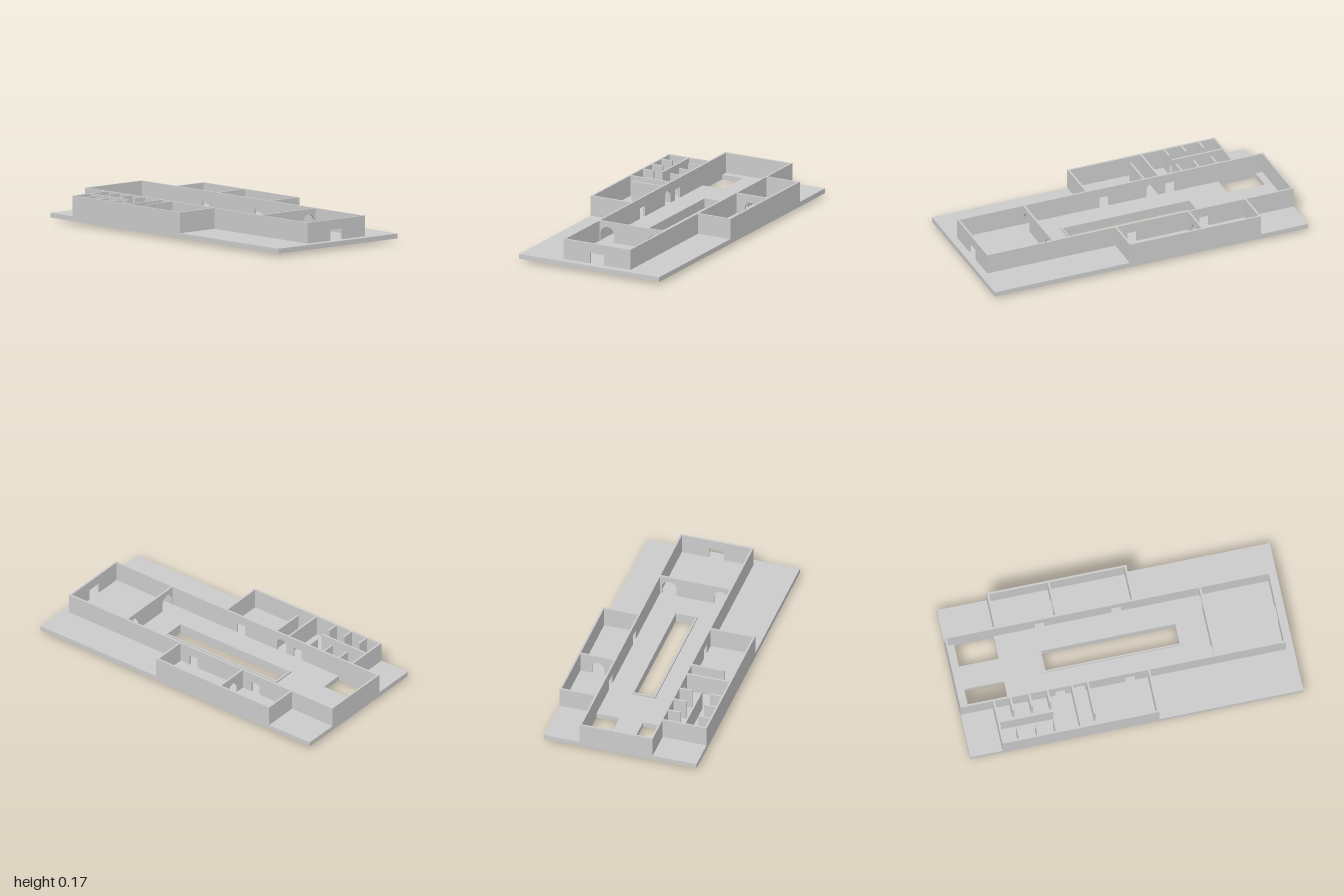
import * as THREE from 'three';

const FLOOR = 0.047, SLAB_BOTTOM = 0.018, TOP = 0.17, T = 0.012;
const material = new THREE.MeshStandardMaterial({ color: 0xcccccc, flatShading: true });

// Closed rectangle path from two opposite corners
function rect(Type, x0, z0, x1, z1) {
  const p = new Type();
  p.moveTo(x0, z0);
  p.lineTo(x1, z0);
  p.lineTo(x1, z1);
  p.lineTo(x0, z1);
  p.closePath();
  return p;
}

// Horizontal plate with rectangular holes
function plate(name, outline, holes, bottom, top) {
  const shape = rect(THREE.Shape, ...outline);
  holes.forEach(h => shape.holes.push(rect(THREE.Path, ...h)));
  const geo = new THREE.ExtrudeGeometry(shape, { depth: top - bottom, bevelEnabled: false });
  geo.rotateX(Math.PI / 2).translate(0, top, 0);
  const mesh = new THREE.Mesh(geo, material);
  mesh.name = name;
  return mesh;
}

// Upright wall centred on `at`, running from a to b along an axis.
// Openings are [start, end, top, arched], in rising order.
function wall(name, axis, at, a, b, openings = []) {
  const s = new THREE.Shape();
  s.moveTo(a, TOP);
  s.lineTo(a, FLOOR);
  for (const [u0, u1, top, arched] of openings) {
    const r = (u1 - u0) / 2;
    s.lineTo(u0, FLOOR);
    if (arched) {
      s.lineTo(u0, top - r);
      s.absarc(u0 + r, top - r, r, Math.PI, 0, true);
    } else {
      s.lineTo(u0, top);
      s.lineTo(u1, top);
    }
    s.lineTo(u1, FLOOR);
  }
  s.lineTo(b, FLOOR);
  s.lineTo(b, TOP);
  s.closePath();
  const geo = new THREE.ExtrudeGeometry(s, { depth: T, bevelEnabled: false, curveSegments: 16 });
  geo.translate(0, 0, -T / 2);
  if (axis === 'z') geo.rotateY(-Math.PI / 2);
  geo.translate(axis === 'z' ? at : 0, 0, axis === 'x' ? at : 0);
  const mesh = new THREE.Mesh(geo, material);
  mesh.name = name;
  return mesh;
}

export function createModel() {
  const model = new THREE.Group();
  model.name = 'floorPlan';

  // Ground slab with pool opening and two light wells
  const pool = [-0.045, -0.465, 0.098, 0.36];
  model.add(plate('groundSlab', [-0.47, -1, 0.47, 1], [
    pool,
    [-0.19, -0.945, -0.047, -0.707],
    [0.098, -0.945, 0.24, -0.707],
  ], SLAB_BOTTOM, FLOOR));

  // Rim around the long opening
  model.add(plate('openingRim', pool, [[-0.035, -0.455, 0.088, 0.35]], 0, 0.058));

  // Central hall
  const L = -0.193, R = 0.246;
  const door = 0.112;
  const hall = new THREE.Group();
  hall.name = 'centralHall';
  hall.add(
    wall('hallRightWall', 'z', L, -1, 0.955,
      [[-0.43, -0.37, door], [-0.32, -0.25, 0.13, true], [-0.01, 0.05, door]]),
    wall('hallLeftWall', 'z', R, -1, 0.955, [[-0.46, -0.4, door], [0, 0.06, door]]),
    wall('hallBackWall', 'x', -0.994, L, R),
    wall('hallFrontWall', 'x', 0.949, L, R, [[-0.02, 0.073, door]]),
    wall('hallPartition', 'x', 0.532, L, R,
      [[-0.18, -0.09, 0.138, true], [0.14, 0.23, 0.138, true]]),
  );
  model.add(hall);

  // Two rooms on the left side
  const leftWing = new THREE.Group();
  leftWing.name = 'leftWing';
  leftWing.add(
    wall('leftOuterWall', 'z', 0.464, -0.7, 0.14),
    wall('leftBackWall', 'x', -0.694, R, 0.47),
    wall('leftPartition', 'x', -0.33, R, 0.47, [[0.31, 0.385, 0.125, true]]),
    wall('leftFrontWall', 'x', 0.132, R, 0.47),
  );
  model.add(leftWing);

  // Room and washroom on the right side
  const rightWing = new THREE.Group();
  rightWing.name = 'rightWing';
  rightWing.add(
    wall('rightOuterWall', 'z', -0.464, -0.806, 0.136),
    wall('rightBackWall', 'x', -0.8, -0.47, L),
    wall('rightPartition', 'x', -0.33, -0.47, L),
    wall('rightFrontWall', 'x', 0.13, -0.47, L),
    wall('screenWall', 'x', -0.237, -0.4, L),
    wall('stallSpine', 'z', -0.332, -0.8, -0.472),
  );
  for (const z of [-0.7, -0.588, -0.478]) {
    rightWing.add(wall('outerStallDivider', 'x', z, -0.465, -0.387));
    rightWing.add(wall('innerStallDivider', 'x', z, -0.277, L));
  }
  model.add(rightWing);

  return model;
}
